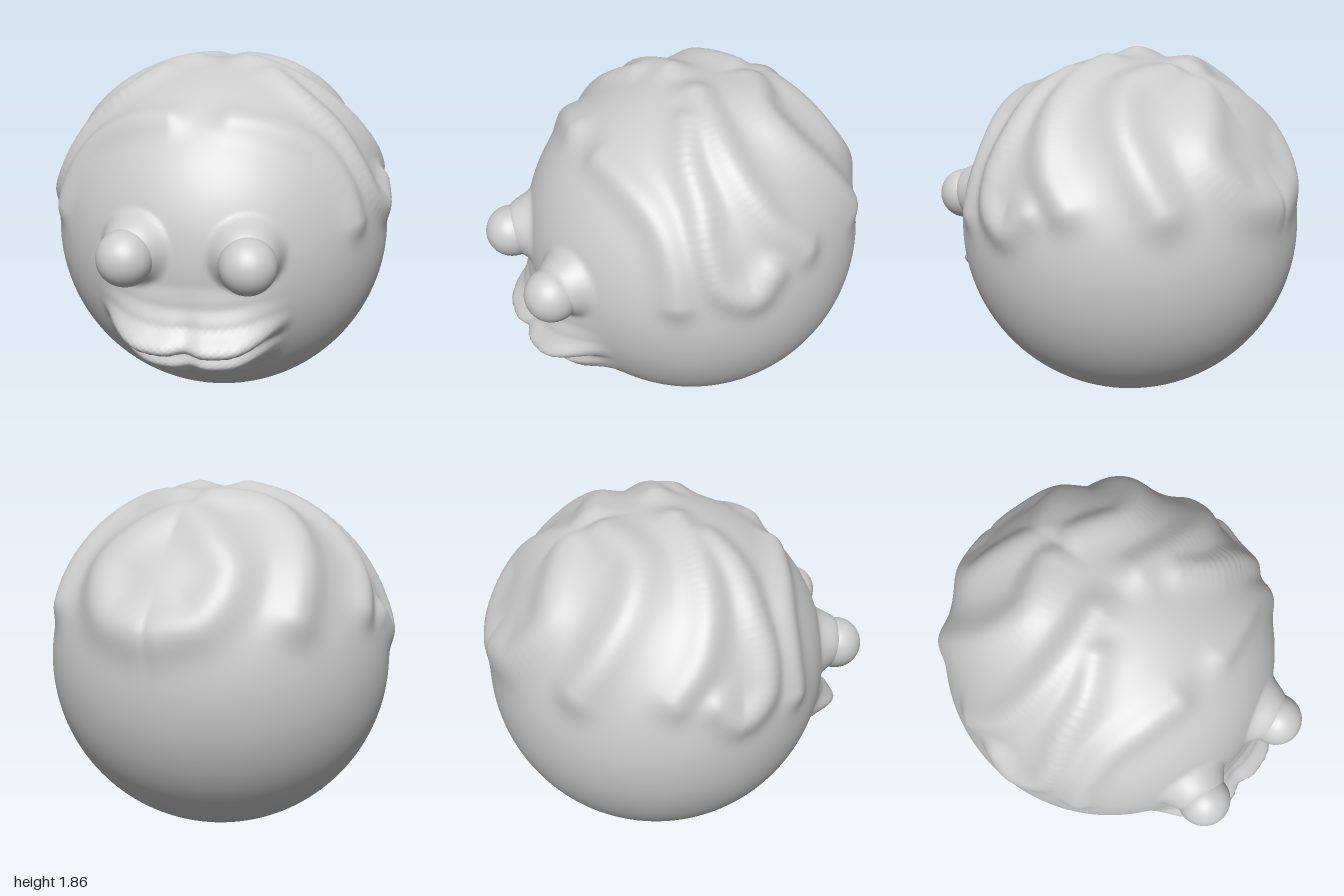
import * as THREE from 'three';
import { mergeVertices } from 'three/addons/utils/BufferGeometryUtils.js';

const R = 0.915;
const CENTRE = new THREE.Vector3(0, 0.915, -0.085);
const { smoothstep } = THREE.MathUtils;

// Wavy ridges of the scalp on the left half: height, width, path points
const RIDGES = [
  [0.04, 0.085, [[0.16, 1.6, 0.5], [0.36, 1.57, 0.47], [0.58, 1.47, 0.42], [0.72, 1.28, 0.4], [0.77, 1.1, 0.4]]],
  [0.045, 0.085, [[0.3, 1.78, 0.1], [0.45, 1.68, 0.18], [0.62, 1.5, 0.2], [0.78, 1.35, 0.24], [0.86, 1.18, 0.2], [0.9, 1.1, 0.05], [0.88, 1.2, -0.06]]],
  [0.045, 0.09, [[0.15, 1.83, -0.03], [0.4, 1.74, 0.0], [0.62, 1.6, -0.02], [0.78, 1.4, -0.12], [0.83, 1.25, -0.26]]],
  [0.055, 0.11, [[0.1, 1.78, -0.38], [0.33, 1.72, -0.29], [0.52, 1.6, -0.38], [0.62, 1.42, -0.55], [0.62, 1.25, -0.66]]],
  [0.05, 0.12, [[0.03, 1.72, -0.55], [0.2, 1.6, -0.65], [0.32, 1.45, -0.74], [0.25, 1.25, -0.9], [0.06, 1.2, -1.0]]],
].map(([height, width, pts]) => ({
  height,
  width,
  path: new THREE.CatmullRomCurve3(pts.map((p) => new THREE.Vector3(...p)))
    .getPoints(30)
    .map((p) => p.sub(CENTRE).setLength(R)),
}));

// Lip profile: elevation angle from the head's centre, height above the head
const LIPS = [
  [-0.8, 0], [-0.66, 0.025], [-0.6, 0.075], [-0.56, 0.105], [-0.49, 0.118], [-0.46, 0.085], [-0.435, 0.065],
  [-0.41, 0.105], [-0.365, 0.18], [-0.336, 0.19], [-0.27, 0.08], [-0.18, 0.025], [-0.07, 0],
];

function lipHeight(elevation) {
  for (let i = 1; i < LIPS.length; i++) {
    const [a, ha] = LIPS[i - 1];
    const [b, hb] = LIPS[i];
    if (elevation >= a && elevation < b) return ha + (hb - ha) * smoothstep(elevation, a, b) * 0.5 + (hb - ha) * 0.5 * (elevation - a) / (b - a);
  }
  return 0;
}

// Height of the surface above the plain sphere at p (relative to the centre)
function relief(p) {
  const q = new THREE.Vector3(Math.abs(p.x), p.y, p.z);

  // scalp
  let sum = 0;
  for (const { height, width, path } of RIDGES) {
    let d2 = Infinity;
    for (const s of path) d2 = Math.min(d2, s.distanceToSquared(q));
    sum += (height * Math.exp(-d2 / (width * width))) ** 2;
  }
  let h = Math.sqrt(sum);

  if (q.z > 0) {
    // flared eye sockets
    const rho = Math.hypot(q.x - 0.275, q.y - 0.1);
    h += 0.1 * (1 - smoothstep(rho, 0.08, 0.2));

    // mouth, with raised corners and a notch in the middle
    const turn = Math.atan2(q.x, q.z);
    const lift = 0.05 * smoothstep(turn, 0.1, 0.55);
    const fade = 1 - smoothstep(turn, 0.2, 0.62);
    const notch = 1 - 0.2 * Math.exp(-((turn / 0.06) ** 2));
    h += lipHeight(Math.asin(q.y / R) - lift) * fade * notch;
  }
  return h;
}

function headGeometry() {
  let geo = new THREE.IcosahedronGeometry(R, 62);
  geo.deleteAttribute('normal');
  geo.deleteAttribute('uv');
  geo = mergeVertices(geo, 1e-4);
  const pos = geo.attributes.position;
  const p = new THREE.Vector3();
  for (let i = 0; i < pos.count; i++) {
    p.fromBufferAttribute(pos, i);
    p.setLength(R + relief(p)).add(CENTRE);
    pos.setXYZ(i, p.x, p.y, p.z);
  }
  geo.computeVertexNormals();
  return geo;
}

export function createModel() {
  const group = new THREE.Group();
  const material = new THREE.MeshStandardMaterial({ color: 0xcccccc });

  const head = new THREE.Mesh(headGeometry(), material);
  head.name = 'head';
  group.add(head);

  // bulging eyes
  for (const side of [1, -1]) {
    const eye = new THREE.Mesh(new THREE.SphereGeometry(0.14, 40, 28), material);
    eye.name = side > 0 ? 'leftEye' : 'rightEye';
    eye.position.set(side * 0.297, 0.99, 0.86);
    group.add(eye);
  }
  return group;
}
